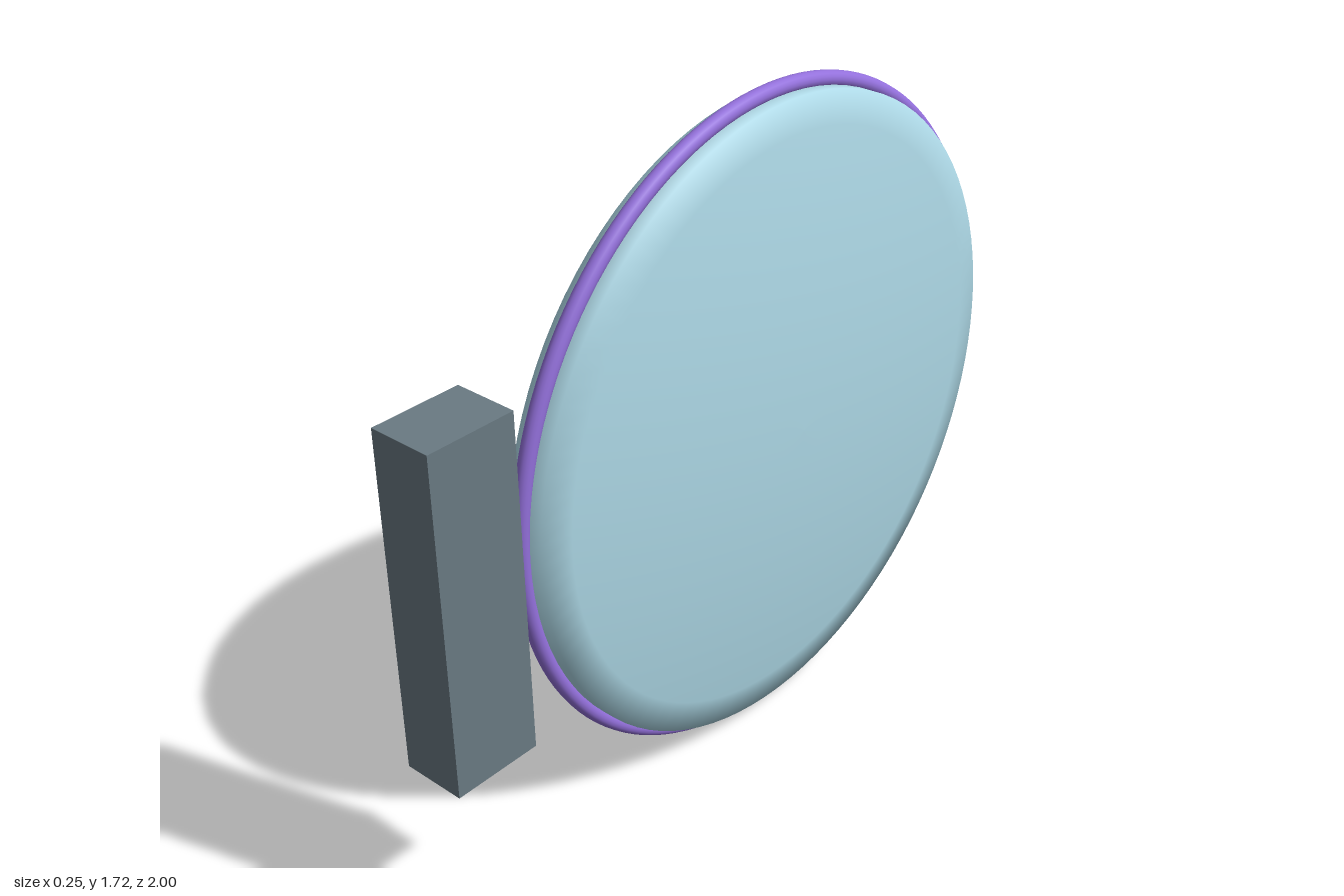
import * as THREE from 'three';

const CENTRE_Y = 0.862, CENTRE_Z = -0.14;

const mat = (color) => new THREE.MeshStandardMaterial({ color });

export function createModel() {
  const model = new THREE.Group();
  const blue = mat(0xadd8e6), purple = mat(0x9370db), slate = mat(0x6a7a83), grey = mat(0x888888);

  const add = (name, geometry, material, x, y, z) => {
    const mesh = new THREE.Mesh(geometry, material);
    mesh.name = name;
    mesh.position.set(x, y, z);
    model.add(mesh);
    return mesh;
  };

  // Domed disc: two shallow caps joined by a straight rim, turned about the x axis
  const radius = 0.828, rim = 0.05, bulge = 0.07, steps = 10;
  const cap = [];
  for (let i = 0; i <= steps; i++) {
    const t = i / steps;
    cap.push(new THREE.Vector2(radius * t, rim + bulge * (1 - t * t)));
  }
  const profile = [...cap.map((p) => new THREE.Vector2(p.x, -p.y)), ...cap.slice().reverse()];
  const disc = add('disc', new THREE.LatheGeometry(profile, 96), blue, 0, CENTRE_Y, CENTRE_Z);
  disc.rotation.z = -Math.PI / 2;

  // Round hoop around the rim
  const hoop = add('hoop', new THREE.TorusGeometry(0.84, 0.02, 16, 128), purple, 0, CENTRE_Y, CENTRE_Z);
  hoop.rotation.y = Math.PI / 2;

  // Upright block standing in front of the disc
  add('block', new THREE.BoxGeometry(0.165, 0.87, 0.232), slate, 0, 0.865, 0.884);

  // Thin round rod along z or y
  const rod = (name, r, length, x, y, z, upright = false) => {
    const mesh = add(name, new THREE.CylinderGeometry(r, r, length, 12), grey, x, y, z);
    if (!upright) mesh.rotation.x = Math.PI / 2;
  };

  // Pair of rods on the right face of the disc
  for (const side of [-1, 1]) rod('faceRod', 0.008, 0.265, -0.088, 1.12, CENTRE_Z + side * 0.6);

  // Small latch beside the block
  rod('latchUpperBar', 0.006, 0.08, -0.12, 0.915, 0.872);
  rod('latchLowerBar', 0.006, 0.08, -0.12, 0.86, 0.872);
  rod('latchPost', 0.006, 0.075, -0.12, 0.825, 0.89, true);

  return model;
}
